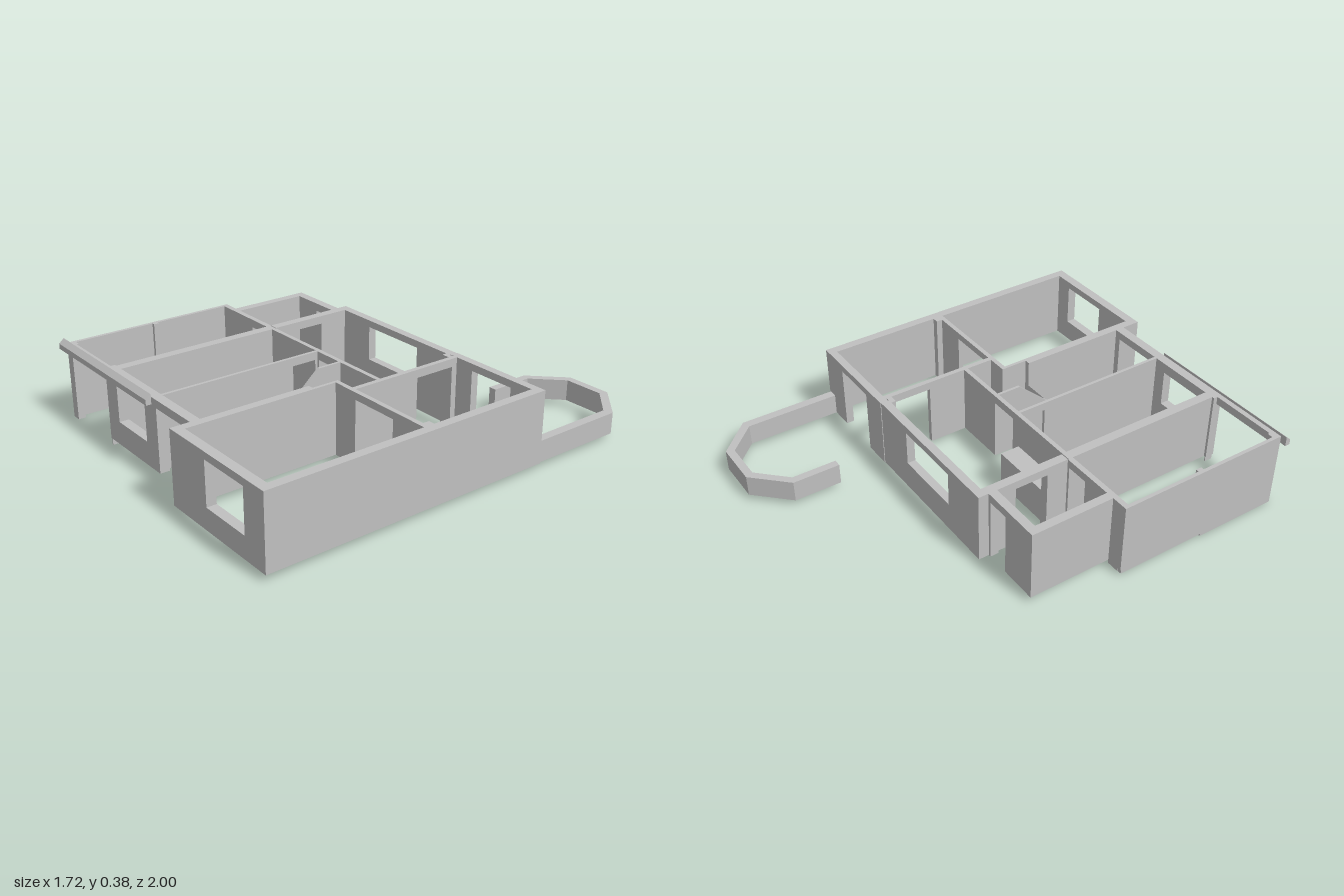
import * as THREE from 'three';

const FLOOR = 0.03, TOP = 0.363;

export function createModel() {
  const model = new THREE.Group();
  model.name = 'floorPlanWalls';
  const plaster = new THREE.MeshStandardMaterial({ color: 0xc0c0c0 });
  plaster.name = 'grey plaster';

  function add(parent, name, geometry) {
    const mesh = new THREE.Mesh(geometry, plaster);
    mesh.name = name;
    parent.add(mesh);
    return mesh;
  }

  // Box given by its limits on each axis
  function block(name, x0, x1, y0, y1, z0, z1, parent = model) {
    const g = new THREE.BoxGeometry(x1 - x0, y1 - y0, z1 - z0);
    g.translate((x0 + x1) / 2, (y0 + y1) / 2, (z0 + z1) / 2);
    return add(parent, name, g);
  }

  // Wall along 'x' or 'z' from a to b, thickness c to d; openings are [from, to, sill, head]
  function wall(name, axis, a, b, c, d, openings = [], base = FLOOR) {
    const group = new THREE.Group();
    group.name = name;
    model.add(group);
    const piece = (part, p, q, y0, y1) => {
      if (q - p < 1e-4 || y1 - y0 < 1e-4) return;
      if (axis === 'x') block(part, p, q, y0, y1, c, d, group);
      else block(part, c, d, y0, y1, p, q, group);
    };
    let at = a;
    for (const [from, to, sill, head] of openings) {
      piece('pier', at, from, base, TOP);
      piece('sill', from, to, base, sill);
      piece('lintel', from, to, head, TOP);
      at = to;
    }
    piece('pier', at, b, base, TOP);
  }

  const HEAD = 0.325;

  // Front room and right side
  wall('rightOuterWall', 'z', -0.385, 1, 0.815, 0.857);
  wall('frontRoomWall', 'x', 0.23, 0.815, 0.955, 1, [[0.475, 0.73, 0.13, 0.33]]);
  wall('frontRoomSideWall', 'z', 0.345, 0.955, 0.23, 0.27);
  wall('closetSideWall', 'z', 0.215, 0.345, 0.255, 0.27);
  wall('frontRoomBackWall', 'x', 0.27, 0.815, 0.215, 0.237, [[0.4, 0.635, FLOOR, 0.33]]);
  block('cornerPost', 0.785, 0.815, FLOOR, TOP, 0.185, 0.215);

  // Back walls
  wall('backRightWall', 'x', 0.335, 0.815, -0.385, -0.348, [[0.47, 0.7, FLOOR, 0.33]]);
  wall('backMiddleWall', 'x', -0.45, 0.335, -0.382, -0.343, [[-0.22, 0.12, 0.165, 0.33]]);
  wall('backLeftWall', 'x', -0.75, -0.45, -0.333, -0.292, [[-0.57, -0.462, FLOOR, HEAD]]);
  wall('backLeftSideWall', 'z', -0.292, 0.062, -0.75, -0.71);
  wall('backLeftInnerWall', 'z', -0.343, 0.062, -0.45, -0.408, [[-0.2, -0.04, FLOOR, HEAD]]);
  wall('backRightInnerWall', 'z', -0.348, 0.215, 0.352, 0.375, [[-0.32, -0.12, FLOOR, HEAD]]);
  block('doorJamb', 0.312, 0.352, FLOOR, TOP, -0.343, -0.32);

  // Middle partition and the storage block behind it
  wall('garageBackWall', 'x', -0.83, -0.45, 0.062, 0.087, [[-0.57, -0.462, FLOOR, HEAD]]);
  wall('middlePartition', 'x', -0.45, 0.352, 0.066, 0.087, [[-0.045, 0.095, FLOOR, HEAD]]);
  block('storageBlock', -0.407, -0.09, FLOOR, 0.2, -0.028, 0.066);

  // Garage
  wall('garageSideWall', 'z', 0.087, 0.91, -0.83, -0.813);
  block('garageFootingFront', -0.83, -0.813, 0, FLOOR, 0.5, 0.91);
  block('garageFootingBack', -0.83, -0.813, 0.012, FLOOR, 0.065, 0.5);
  block('garageCornerFooting', -0.813, -0.75, 0.013, FLOOR, 0.062, 0.087);
  block('garagePost', -0.813, -0.785, 0, TOP, 0.875, 0.91);
  block('garageLintel', -0.785, -0.45, HEAD, TOP, 0.885, 0.91);
  block('garageSmallPost', -0.813, -0.798, FLOOR, TOP, 0.457, 0.485);
  block('garageThreshold', -0.455, -0.45, 0, FLOOR, 0.87, 0.91);
  wall('garageInnerWall', 'z', 0.087, 0.865, -0.45, -0.405);

  // Middle front room, hall and entrance
  wall('middleFrontWall', 'x', -0.462, 0.23, 0.865, 0.91,
    [[-0.37, -0.13, 0.14, 0.315], [-0.035, 0.2, FLOOR, HEAD]]);
  wall('hallWall', 'z', 0.087, 0.865, -0.07, -0.055, [[0.1, 0.22, FLOOR, HEAD]]);

  // Extrude a side profile of (z, y) points between two x positions
  function profile(name, points, x0, x1) {
    const shape = new THREE.Shape(points.map(([z, y]) => new THREE.Vector2(-z, y)));
    const g = new THREE.ExtrudeGeometry(shape, { depth: x1 - x0, bevelEnabled: false });
    g.rotateY(Math.PI / 2);
    g.translate(x0, 0, 0);
    add(model, name, g);
  }

  // Sloped hall parapet with its low return
  profile('slopedParapet',
    [[0.087, FLOOR], [0.36, FLOOR], [0.36, 0.225], [0.345, 0.235], [0.2, TOP], [0.087, TOP]], 0.095, 0.108);
  profile('lowParapet', [[0.345, FLOOR], [0.36, FLOOR], [0.36, 0.222], [0.345, 0.238]], 0.108, 0.23);

  // Bevelled beam over the front
  profile('frontBeam',
    [[0.91, 0.33], [0.935, 0.33], [0.935, 0.355], [0.912, 0.376], [0.91, 0.376]], -0.86, -0.07);

  // Low angular balcony wall at the back
  const outline = [
    [0.85, -0.385], [0.85, -0.845], [0.69, -1], [0.47, -1], [0.318, -0.845], [0.318, -0.62],
    [0.355, -0.62], [0.355, -0.832], [0.485, -0.963], [0.675, -0.963], [0.808, -0.832], [0.808, -0.385],
  ];
  const balcony = new THREE.ExtrudeGeometry(
    new THREE.Shape(outline.map(([x, z]) => new THREE.Vector2(x, -z))),
    { depth: 0.1, bevelEnabled: false });
  balcony.rotateX(-Math.PI / 2);
  balcony.translate(0, FLOOR, 0);
  add(model, 'balconyWall', balcony);

  return model;
}
